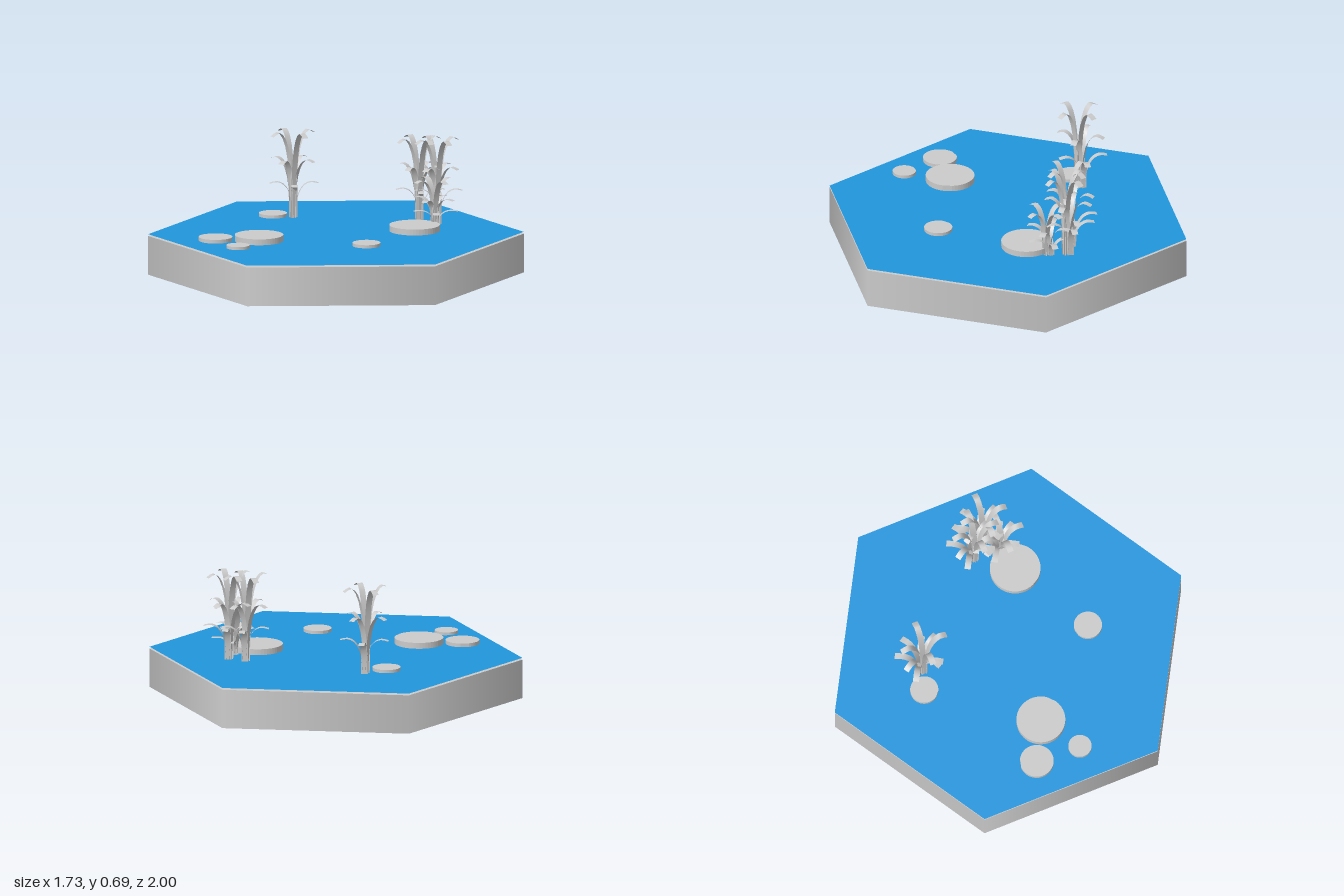
import * as THREE from 'three';

const grey = new THREE.MeshStandardMaterial({ color: 0xcccccc });
const leafGrey = new THREE.MeshStandardMaterial({ color: 0xcccccc, side: THREE.DoubleSide });
const blue = new THREE.MeshStandardMaterial({ color: 0x2196dd, side: THREE.DoubleSide });
const WATER = 0.22;

function add(parent, name, geometry, material, x = 0, y = 0, z = 0) {
  const mesh = new THREE.Mesh(geometry, material);
  mesh.name = name;
  mesh.position.set(x, y, z);
  parent.add(mesh);
  return mesh;
}

// Round pad with a wedge notch between two angles (degrees from +x towards +z)
function padGeometry(radius, notchFrom, notchTo, thickness) {
  const rad = THREE.MathUtils.degToRad;
  const shape = new THREE.Shape();
  shape.moveTo(0, 0);
  shape.absarc(0, 0, radius, rad(notchTo), rad(notchFrom + 360), false);
  shape.closePath();
  return new THREE.ExtrudeGeometry(shape, { depth: thickness, bevelEnabled: false, curveSegments: 24 })
    .rotateX(Math.PI / 2);
}

// Flat strip that rises, arches outwards along +z and droops at the tip
function leafGeometry(height, reach) {
  const curve = new THREE.CatmullRomCurve3(
    [[0.06, 0], [0.1, 0.4], [0.2, 0.7], [0.42, 0.92], [0.7, 1], [1, 0.96]]
      .map(([r, h]) => new THREE.Vector3(0, h * height, r * reach)));
  const segments = 10;
  const geometry = new THREE.PlaneGeometry(0.033, 1, 1, segments);
  const pos = geometry.attributes.position;
  for (let i = 0; i < pos.count; i++) {
    const p = curve.getPoint(1 - Math.floor(i / 2) / segments);
    pos.setXYZ(i, pos.getX(i), p.y, p.z);
  }
  geometry.computeVertexNormals();
  return geometry;
}

// Three tiers of four leaves, each tier turned by 30 degrees
function reed(x, z, heights, reach) {
  const group = new THREE.Group();
  group.name = 'reed';
  group.position.set(x, WATER, z);
  const offsets = [[0, 0], [0.007, -0.015], [0.02, -0.02]];
  heights.forEach((height, tier) => {
    const geometry = leafGeometry(height, reach);
    for (let k = 0; k < 4; k++) {
      const leaf = add(group, 'reedLeaf', geometry, leafGrey, offsets[tier][0], 0, offsets[tier][1]);
      leaf.rotation.y = k * Math.PI / 2 + tier * Math.PI / 6;
    }
  });
  return group;
}

export function createModel() {
  const model = new THREE.Group();
  model.name = 'pondTile';

  // Hexagonal ground slab and the water sheet just above it
  const baseHeight = 0.21;
  add(model, 'base', new THREE.CylinderGeometry(1, 1, baseHeight, 6), grey, 0, baseHeight / 2, 0);
  add(model, 'water', new THREE.CircleGeometry(1, 6).rotateZ(Math.PI / 2).rotateX(-Math.PI / 2), blue, 0, WATER, 0);

  // Lily pads: x, z, radius, notch start, notch end, top, thickness
  const pads = [
    [-0.68, -0.12, 0.09, 270, 300, 0.252, 0.02],
    [-0.475, -0.01, 0.13, 37, 60, 0.26, 0.032],
    [-0.69, 0.125, 0.062, 277, 307, 0.25, 0.016],
    [-0.075, 0.43, 0.075, 245, 270, 0.25, 0.017],
    [0.37, 0.197, 0.135, 140, 157, 0.26, 0.032],
    [-0.075, -0.515, 0.075, 118, 145, 0.25, 0.017],
  ];
  for (const [x, z, r, from, to, top, thickness] of pads) {
    add(model, 'lilyPad', padGeometry(r, from, to, thickness), grey, x, top, z);
  }

  // Reeds: a lone one at the back and a clump on the left
  const tall = [0.47, 0.32, 0.19];
  const short = [0.27, 0.165, 0.095];
  model.add(
    reed(0.025, -0.475, tall, 0.13),
    reed(0.505, 0.025, tall, 0.13),
    reed(0.57, 0.1, tall, 0.13),
    reed(0.505, 0.18, short, 0.118),
  );
  return model;
}
